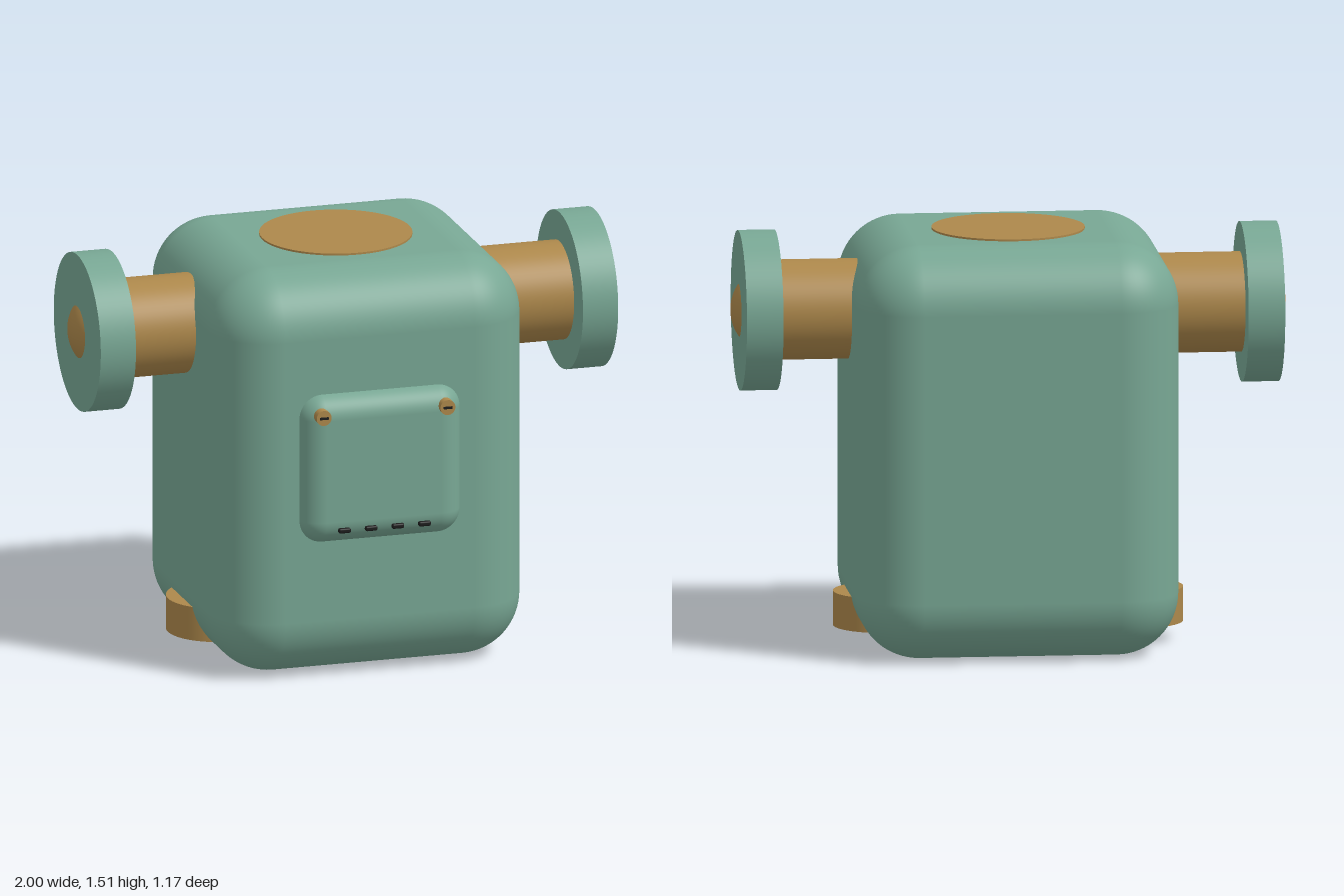
import * as THREE from 'three';
import { RoundedBoxGeometry } from 'three/addons/geometries/RoundedBoxGeometry.js';

const green = new THREE.MeshStandardMaterial({ color: 0x78a794 });
const brass = new THREE.MeshStandardMaterial({ color: 0xad884b });
const dark = new THREE.MeshStandardMaterial({ color: 0x1c1c1c });

const MID_Z = -0.043; // depth centre of the body and limbs

function add(parent, name, geometry, material, x, y, z) {
  const mesh = new THREE.Mesh(geometry, material);
  mesh.name = name;
  mesh.position.set(x, y, z);
  parent.add(mesh);
  return mesh;
}

// Cylinder lying along x, from x0 to x1
function barX(radius, x0, x1) {
  return new THREE.CylinderGeometry(radius, radius, Math.abs(x1 - x0), 64)
    .rotateZ(Math.PI / 2)
    .translate((x0 + x1) / 2, 0, 0);
}

// Shallow spherical cap pointing along side * x, rim centred on the origin
function capX(radius, height, side) {
  const R = (radius * radius + height * height) / (2 * height);
  return new THREE.SphereGeometry(R, 48, 12, 0, Math.PI * 2, 0, Math.asin(radius / R))
    .translate(0, height - R, 0)
    .rotateZ(-side * Math.PI / 2);
}

export function createModel() {
  const model = new THREE.Group();
  model.name = 'roundedRobotBody';

  // Main shell and the flat disc on its top
  add(model, 'body', new RoundedBoxGeometry(1.16, 1.5, 1.085, 10, 0.225), green, 0, 0.75, MID_Z);
  add(model, 'topDisc', new THREE.CylinderGeometry(0.275, 0.275, 0.03, 64), brass, 0, 1.492, MID_Z - 0.003);

  // Arms and feet, mirrored
  for (const side of [1, -1]) {
    const label = side > 0 ? 'left' : 'right';
    const arm = new THREE.Group();
    arm.name = label + 'Arm';
    arm.position.set(0, 1.218, MID_Z);
    model.add(arm);
    add(arm, 'shoulder', barX(0.18, side * 0.45, side * 0.86), brass, 0, 0, 0);
    add(arm, 'armDisc', barX(0.288, side * 0.838, side * 0.97), green, 0, 0, 0);
    add(arm, 'hubCap', capX(0.095, 0.03, side), brass, side * 0.97, 0, 0);

    add(model, label + 'Foot', new THREE.CylinderGeometry(0.18, 0.18, 0.125, 64), brass,
      side * 0.45, 0.1275, MID_Z);
  }

  // Front panel
  const panel = new THREE.Group();
  panel.name = 'frontPanel';
  panel.position.x = -0.003;
  model.add(panel);
  add(panel, 'panelCover', new RoundedBoxGeometry(0.61, 0.56, 0.18, 8, 0.0899), green, 0, 0.798, 0.47);

  // Slotted screws in the upper corners
  for (const side of [1, -1]) {
    const head = new THREE.CylinderGeometry(0.028, 0.028, 0.035, 32).rotateX(Math.PI / 2);
    add(panel, 'screw', head, brass, side * 0.232, 1.008, 0.5625);
    add(panel, 'screwSlot', new THREE.BoxGeometry(0.032, 0.008, 0.01), dark, side * 0.232, 1.008, 0.581);
  }

  // Row of vents along the lower edge
  for (let i = 0; i < 4; i++) {
    add(panel, 'vent', new RoundedBoxGeometry(0.045, 0.018, 0.02, 3, 0.006), dark,
      -0.15 + i * 0.1, 0.576, 0.56);
  }

  return model;
}
